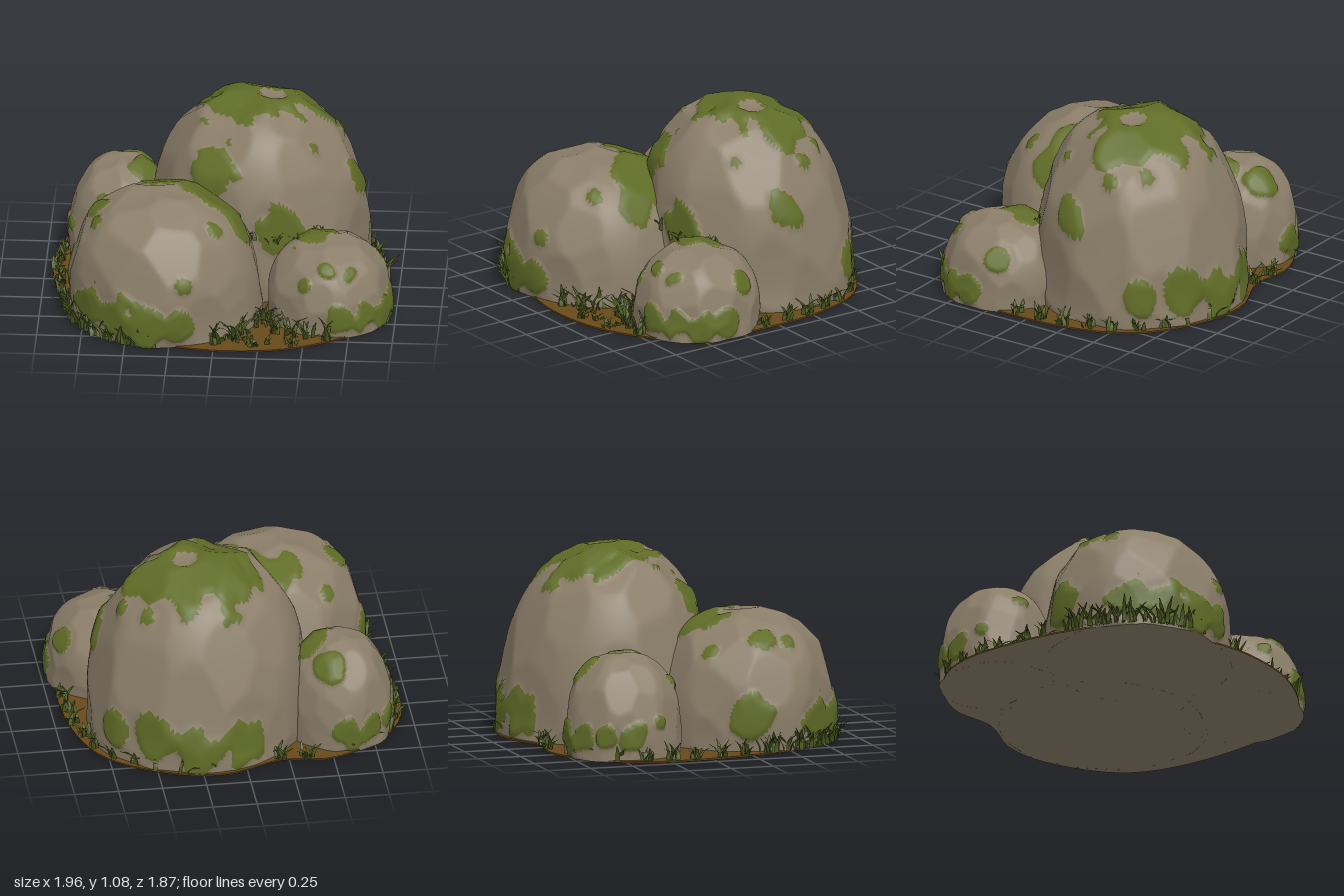
import * as THREE from 'three';
import { mergeVertices, mergeGeometries } from 'three/addons/utils/BufferGeometryUtils.js';

let seed = 7;
const rand = () => {
  seed = (seed * 16807) % 2147483647;
  return seed / 2147483647;
};
const range = (a, b) => a + (b - a) * rand();

const rock = new THREE.MeshStandardMaterial({ color: 0x8b7e69 });
const moss = new THREE.MeshStandardMaterial({ color: 0x606c27 });
const grass = new THREE.MeshStandardMaterial({ color: 0x4e5c22, side: THREE.DoubleSide });
const soil = new THREE.MeshStandardMaterial({ color: 0x68491a });
rock.name = 'rock';
moss.name = 'moss';
grass.name = 'grass';
soil.name = 'soil';

// Low-frequency wobble that makes moss outlines ragged
const wobble = (p) =>
  Math.sin(p.x * 23 + p.y * 11) * Math.sin(p.z * 19 - p.y * 17) * 0.6 +
  Math.sin(p.x * 31 - p.z * 27 + p.y * 29) * 0.4;

// A rounded dome chipped by random planes and cut flat on the ground.
// Patches are [x, y, z, radius]; a negative radius leaves bare rock.
// The skirt is an arc of moss near the ground, given in degrees from +x towards +z.
function makeBoulder(name, { at, size, lean = [0, 0], patches, skirt }) {
  const centre = new THREE.Vector3(...at);
  const scale = new THREE.Vector3(...size);
  const planes = Array.from({ length: 65 }, (_, i) => {
    const y = 1 - (2 * (i + 0.5)) / 65;
    const a = i * 2.39996 + range(-0.4, 0.4);
    const r = Math.sqrt(1 - y * y);
    return { n: new THREE.Vector3(r * Math.cos(a), y, r * Math.sin(a)), c: range(0.965, 0.995) };
  });
  const surface = (dir) => {
    let chip = 1.012;
    for (const { n, c } of planes) {
      const k = dir.dot(n);
      if (k > 0.5) chip = Math.min(chip, c / k);
    }
    const dome = Math.pow(Math.hypot(dir.x, dir.z) ** 2.45 + Math.abs(dir.y) ** 2.45, -1 / 2.45);
    const p = dir.clone().multiplyScalar(chip * dome);
    p.multiply(new THREE.Vector3(size[0], p.y > 0 ? size[1] : 0.6, size[2])).add(centre);
    p.y = Math.max(0, p.y);
    p.x += lean[0] * p.y;
    p.z += lean[1] * p.y;
    return p;
  };

  // Moss spots: placed patches, the low skirt and a few stray flecks
  const spots = patches.map(([x, y, z, r]) => ({
    p: surface(new THREE.Vector3(x - lean[0] * y, y, z - lean[1] * y).sub(centre).divide(scale).normalize()), r
  }));
  const around = (angle, y, r) =>
    spots.push({ p: surface(new THREE.Vector3(Math.cos(angle), y, Math.sin(angle)).normalize()), r });
  for (let i = 0; i < 4; i++) {
    const angle = THREE.MathUtils.degToRad(THREE.MathUtils.lerp(skirt[0], skirt[1], i / 3));
    around(angle, range(0.0, 0.13), 0.035 + size[0] * range(0.12, 0.18));
  }
  for (let i = 0; i < 4; i++) around(range(0, 6.28), range(0.2, 1.2), range(0.035, 0.05));
  const mossAt = (p) => {
    let m = -1;
    for (const s of spots) if (s.r > 0) m = Math.max(m, 1 - p.distanceTo(s.p) / s.r);
    m += wobble(p) * 0.38;
    for (const s of spots) if (s.r < 0) m = Math.min(m, p.distanceTo(s.p) / -s.r - 1);
    return m;
  };

  let geo = new THREE.IcosahedronGeometry(1, 31);
  geo.deleteAttribute('uv');
  geo.deleteAttribute('normal');
  geo = mergeVertices(geo, 1e-4);
  const pos = geo.attributes.position;
  const mask = [];
  for (let i = 0; i < pos.count; i++) {
    const dir = new THREE.Vector3().fromBufferAttribute(pos, i).normalize();
    const p = surface(dir);
    mask[i] = mossAt(p);
    if (p.y > 0) p.addScaledVector(dir, THREE.MathUtils.clamp(mask[i] * 0.12, 0, 0.012));
    pos.setXYZ(i, p.x, Math.max(0, p.y), p.z);
  }
  // Sort the faces into bare rock and moss
  const bare = [];
  const mossy = [];
  const idx = geo.index.array;
  for (let i = 0; i < idx.length; i += 3) {
    const [a, b, c] = [idx[i], idx[i + 1], idx[i + 2]];
    const green = mask[a] + mask[b] + mask[c] > 0 && pos.getY(a) + pos.getY(b) + pos.getY(c) > 0;
    (green ? mossy : bare).push(a, b, c);
  }
  geo.setIndex(bare.concat(mossy));
  geo.addGroup(0, bare.length, 0);
  geo.addGroup(bare.length, mossy.length, 1);
  geo.computeVertexNormals();
  const mesh = new THREE.Mesh(geo, [rock, moss]);
  mesh.name = name;
  return mesh;
}

// One broad tapered blade bending outwards
function blade(x, y, z, angle, length, lean) {
  const geo = new THREE.PlaneGeometry(1, 1, 1, 3);
  const pos = geo.attributes.position;
  for (let i = 0; i < pos.count; i++) {
    const t = pos.getY(i) + 0.5;
    const width = 0.036 * (1 - t * 0.92) * (0.7 + t);
    pos.setXYZ(i, pos.getX(i) * width, length * t * (1 - 0.35 * lean * t), length * lean * t * t);
  }
  geo.rotateY(angle).translate(x, y, z);
  geo.computeVertexNormals();
  return geo;
}

function makeTufts(name, spots, count, height) {
  const blades = [];
  for (const { x, y, z } of spots) {
    for (let i = 0; i < count; i++) {
      blades.push(blade(x + range(-0.03, 0.03), y + 0.008, z + range(-0.03, 0.03),
        (i / count) * Math.PI * 2 + range(-0.4, 0.4), height * range(0.5, 1), range(0.2, 0.9)));
    }
  }
  const mesh = new THREE.Mesh(mergeGeometries(blades), grass);
  mesh.name = name;
  return mesh;
}

const curve = (points, closed) =>
  new THREE.CatmullRomCurve3(points.map(([x, z, y = 0]) => new THREE.Vector3(x, y, z)), closed);

export function createModel() {
  const model = new THREE.Group();
  model.name = 'mossyBoulders';

  model.add(makeBoulder('largeBoulder', {
    at: [0.215, 0.13, -0.31], size: [0.615, 0.925, 0.575], lean: [-0.03, 0.07], skirt: [-111, -34],
    patches: [
      [0.18, 1.06, -0.33, 0.32], [0.38, 1, -0.36, 0.23], [0.27, 1.05, -0.27, -0.07],
      [0.34, 0.44, 0.25, 0.15], [-0.03, 0.72, 0.12, 0.15], [0.8, 0.62, -0.14, 0.11]
    ]
  }));
  model.add(makeBoulder('frontBoulder', {
    at: [-0.285, 0.1, 0.385], size: [0.535, 0.64, 0.51], lean: [-0.05, 0.01], skirt: [79, 143],
    patches: [
      [-0.04, 0.65, 0.28, 0.2], [-0.28, 0.72, 0.12, 0.15], [0.06, 0.5, 0.4, 0.12],
      [-0.62, 0.55, 0.37, 0.08], [-0.8, 0.2, 0.28, 0.13]
    ]
  }));
  model.add(makeBoulder('smallRightBoulder', {
    at: [0.625, 0.06, 0.35], size: [0.35, 0.4, 0.36], skirt: [5, 77],
    patches: [[0.53, 0.44, 0.28, 0.13], [0.9, 0.28, 0.24, 0.08]]
  }));
  model.add(makeBoulder('smallBackBoulder', {
    at: [-0.58, 0.08, -0.42], size: [0.305, 0.49, 0.33], skirt: [-173, -93],
    patches: [[-0.48, 0.5, -0.62, 0.09], [-0.42, 0.52, -0.35, 0.12]]
  }));

  // Soil patch with a stone underside
  const rim = curve([
    [-0.2, 0.88], [0.1, 0.92], [0.45, 0.86], [0.8, 0.63], [0.93, 0.3], [0.91, -0.3], [0.76, -0.64],
    [0.38, -0.87], [0.1, -0.9], [-0.2, -0.79], [-0.48, -0.81], [-0.8, -0.63], [-0.95, -0.35], [-0.88, 0.3], [-0.68, 0.68]
  ], true);
  const rimPoints = rim.getSpacedPoints(80).slice(0, -1);
  const top = new THREE.ExtrudeGeometry(
    new THREE.Shape(rimPoints.map((p) => new THREE.Vector2(p.x, -p.z))), { depth: 0.009, bevelEnabled: false });
  const ground = new THREE.Mesh(top.rotateX(-Math.PI / 2).translate(0, 0.001, 0), soil);
  ground.name = 'soilPatch';
  const flat = new THREE.Shape(rimPoints.map((p) => new THREE.Vector2(p.x, p.z)));
  const under = new THREE.Mesh(new THREE.ShapeGeometry(flat).rotateX(Math.PI / 2), rock);
  under.name = 'stoneUnderside';
  model.add(ground, under);

  // Grass round the rim, leaving the front open, and in the front gap
  const rimSpots = rimPoints
    .filter((p, i) => i > 20 && i % 2 === 0 && rand() < 0.85)
    .map((p) => p.clone().multiplyScalar(0.965));
  model.add(makeTufts('rimGrass', rimSpots, 9, 0.12));
  const gap = curve([[0, 0.83], [0.16, 0.7], [0.25, 0.48], [0.33, 0.66], [0.64, 0.74]], false);
  model.add(makeTufts('frontGrass', gap.getSpacedPoints(9), 8, 0.17));

  // Grass along the foot of the front boulder
  const foot = Array.from({ length: 13 }, (_, i) => {
    const a = THREE.MathUtils.degToRad(98 + i * 7);
    return new THREE.Vector3(-0.285 + 0.55 * Math.cos(a), 0, 0.385 + 0.5 * Math.sin(a));
  });
  model.add(makeTufts('footGrass', foot, 8, 0.16));

  // Low sprouts scattered over the open soil
  const sprouts = Array.from({ length: 9 }, () => new THREE.Vector3(range(0.05, 0.5), 0, range(0.74, 0.86)));
  model.add(makeTufts('lowSprouts', sprouts, 5, 0.05));

  // Sprouts rooted where the large boulder meets its neighbours
  const crevice = curve([[-0.08, 0.12, 0.62], [0.03, 0.2, 0.56], [0.18, 0.27, 0.4], [0.36, 0.26, 0.36], [0.55, 0.19, 0.38]], false);
  model.add(makeTufts('creviceSprouts', crevice.getSpacedPoints(6), 7, 0.09));
  return model;
}
